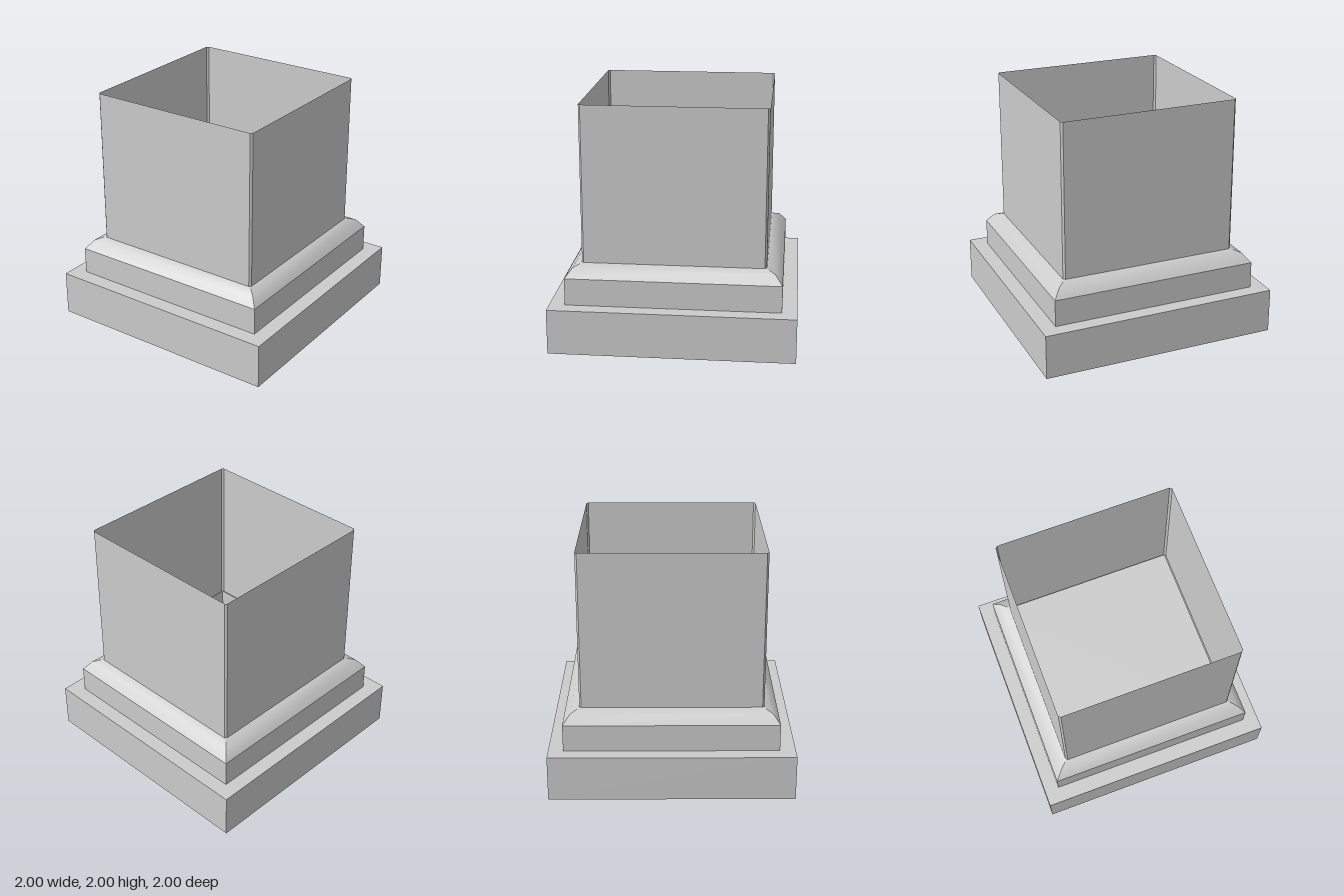
import * as THREE from 'three';

const material = new THREE.MeshStandardMaterial({ color: 0xcccccc, side: THREE.DoubleSide });

// One mitred side of a square band: profile points are [half width, height], lowest first.
function mitredSide(profile) {
  const positions = [], index = [];
  profile.forEach(([r, y], i) => {
    positions.push(-r, y, r, r, y, r);
    if (i > 0) {
      const a = 2 * i - 2;
      index.push(a, a + 1, a + 3, a, a + 3, a + 2);
    }
  });
  const geometry = new THREE.BufferGeometry();
  geometry.setAttribute('position', new THREE.Float32BufferAttribute(positions, 3));
  geometry.setIndex(index);
  geometry.computeVertexNormals();
  return geometry;
}

// Four copies of a side, turned about the vertical axis.
function squareBand(name, profile) {
  const band = new THREE.Group();
  band.name = name;
  const geometry = mitredSide(profile);
  for (let i = 0; i < 4; i++) {
    const side = new THREE.Mesh(geometry, material);
    side.name = name + 'Side';
    side.rotation.y = i * Math.PI / 2;
    band.add(side);
  }
  return band;
}

// Upright wall panel centred on x = 0, facing +z.
function wall(name, width, bottom, top, distance, angle) {
  const geometry = new THREE.PlaneGeometry(width, top - bottom);
  geometry.translate(0, (top + bottom) / 2, distance);
  const mesh = new THREE.Mesh(geometry, material);
  mesh.name = name;
  mesh.rotation.y = angle;
  return mesh;
}

export function createModel() {
  const model = new THREE.Group();
  model.name = 'pillarBase';

  // Square foot slab
  const plinth = new THREE.Mesh(new THREE.BoxGeometry(2, 0.375, 2), material);
  plinth.name = 'plinth';
  plinth.position.y = 0.1875;
  model.add(plinth);

  // Stepped moulding: straight band, then a softly shaded sloping top
  const moulding = new THREE.Group();
  moulding.name = 'moulding';
  moulding.add(
    squareBand('mouldingBand', [[0.875, 0.375], [0.875, 0.6]]),
    squareBand('mouldingSlope', [[0.875, 0.6], [0.815, 0.675], [0.738, 0.702]])
  );
  moulding.position.set(0.003, 0, -0.003);
  model.add(moulding);

  // Hollow shaft, open at the top, with narrow chamfered corners
  const shaft = new THREE.Group();
  shaft.name = 'shaft';
  const half = 0.748, chamfer = 0.016, bottom = 0.7, top = 2;
  for (let i = 0; i < 4; i++) {
    const angle = i * Math.PI / 2;
    shaft.add(
      wall('shaftWall', 2 * (half - chamfer), bottom, top, half, angle),
      wall('shaftChamfer', chamfer * Math.SQRT2, bottom, top,
        (2 * half - chamfer) / Math.SQRT2, angle + Math.PI / 4)
    );
  }
  model.add(shaft);

  return model;
}
